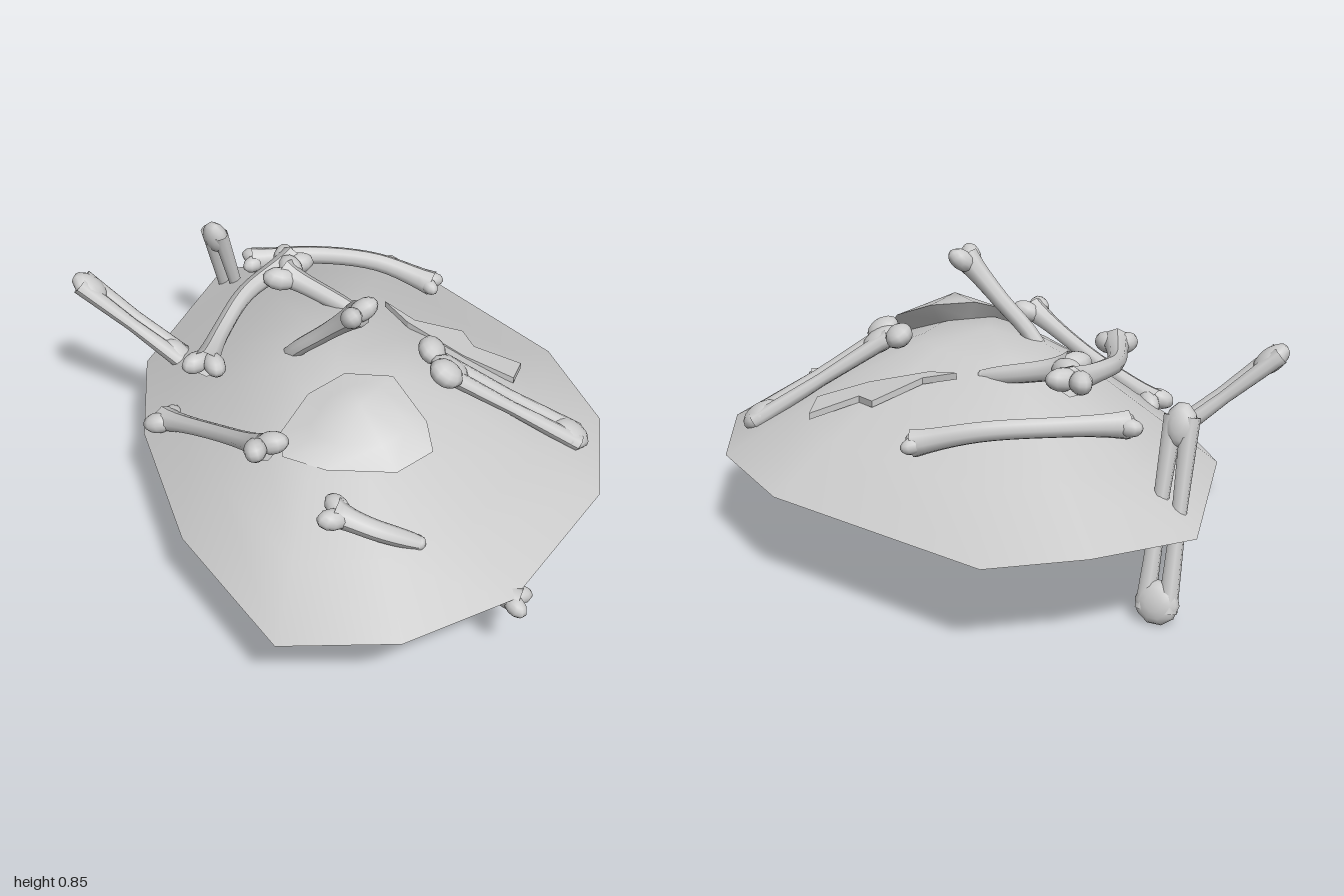
import * as THREE from 'three';

const V = (p) => new THREE.Vector3(...p);
const UP = new THREE.Vector3(0, 1, 0);
const grey = new THREE.MeshStandardMaterial({ color: 0xcccccc });
const greyThin = new THREE.MeshStandardMaterial({ color: 0xcccccc, side: THREE.DoubleSide });

function add(parent, name, geometry, material = grey) {
  const mesh = new THREE.Mesh(geometry, material);
  mesh.name = name;
  parent.add(mesh);
  return mesh;
}

function addGroup(parent, name) {
  const group = new THREE.Group();
  group.name = name;
  parent.add(group);
  return group;
}

// Tube whose radius follows a rule along its length
function shaft(parent, curve, radius) {
  const rows = 16, sides = 8;
  const geo = new THREE.TubeGeometry(curve, rows, 1, sides, false);
  const pos = geo.attributes.position, v = new THREE.Vector3();
  for (let i = 0; i < pos.count; i++) {
    const t = Math.floor(i / (sides + 1)) / rows;
    const c = curve.getPointAt(t);
    v.fromBufferAttribute(pos, i).sub(c).multiplyScalar(radius(t)).add(c);
    pos.setXYZ(i, v.x, v.y, v.z);
  }
  geo.computeVertexNormals();
  add(parent, 'shaft', geo, greyThin);
}

// Ellipsoid aligned to the bone: size = [across, thick, along]
function knob(parent, at, side, dir, size) {
  const mesh = add(parent, 'knuckle', new THREE.SphereGeometry(1, 10, 8));
  const thick = dir.clone().cross(side).normalize();
  mesh.quaternion.setFromRotationMatrix(new THREE.Matrix4().makeBasis(side, thick, dir));
  mesh.position.copy(at);
  mesh.scale.set(...size);
}

const sideOf = (dir) => dir.clone().cross(UP).normalize();

// Long bone with a two-lobed knuckle at each end of non-zero size
function longBone(parent, name, points, r, startSize, endSize) {
  const group = addGroup(parent, name);
  const curve = new THREE.CatmullRomCurve3(points.map(V));
  const flare = (t, s) => (s ? 0.4 * s * Math.exp(-t * 8) : -0.3 * r * Math.exp(-t * 5));
  shaft(group, curve, (t) => r + flare(t, startSize) + flare(1 - t, endSize));
  for (const [t, s] of [[0, startSize], [1, endSize]]) {
    const at = curve.getPointAt(t), out = curve.getTangentAt(t).multiplyScalar(t ? 1 : -1);
    const side = sideOf(out);
    if (!s) { knob(group, at, side, out, [r * 0.7, r * 0.7, r * 0.6]); continue; }
    const up = side.clone().cross(out);
    for (const k of [-1, 1]) {
      const lobeDir = out.clone().addScaledVector(side, k * 0.7).normalize();
      const p = at.clone().addScaledVector(side, k * s * 0.65).addScaledVector(out, -s * 0.1);
      knob(group, p, lobeDir.clone().cross(up).normalize(), lobeDir, [s * 0.75, s * 0.75, s * 1.15]);
    }
  }
}

// Paired bone: two thin shafts joined at both ends, with a slot between
function pairedBone(parent, name, a, b, wideA, wideB) {
  const group = addGroup(parent, name);
  const A = V(a), B = V(b), dir = B.clone().sub(A).normalize(), side = sideOf(dir);
  for (const k of [-1, 1]) {
    const path = [0.05, 0.25, 0.5, 0.75, 0.95].map((t) => {
      const w = THREE.MathUtils.lerp(wideA, wideB, t);
      return A.clone().lerp(B, t).addScaledVector(side, k * w * 0.54);
    });
    shaft(group, new THREE.CatmullRomCurve3(path), (t) => 0.021 + 0.007 * Math.abs(2 * t - 1));
  }
  knob(group, A.clone().addScaledVector(dir, 0.055), side, dir, [wideA * 1.05, 0.035, 0.065]);
  knob(group, B.clone().addScaledVector(dir, -0.055), side, dir, [wideB * 1.05, 0.035, 0.065]);
  return group;
}

// Surface from rings of equal length, closed around, with a point at the last ring
function ringSurface(rings, tip) {
  const n = rings[0].length, index = [];
  const pts = rings.flat().concat([tip]);
  for (let r = 0; r < rings.length; r++) {
    for (let i = 0; i < n; i++) {
      const a = r * n + i, b = r * n + (i + 1) % n;
      if (r === rings.length - 1) index.push(a, pts.length - 1, b);
      else index.push(a, a + n, b, b, a + n, b + n);
    }
  }
  const geo = new THREE.BufferGeometry();
  geo.setAttribute('position', new THREE.Float32BufferAttribute(pts.flat(), 3));
  geo.setIndex(index);
  geo.computeVertexNormals();
  return geo;
}

// Low open mound with an angular rim, its summit set forward
function buildMound(parent) {
  const rim = [[0.1, -1], [0.67, -0.47], [0.84, -0.12], [0.84, 0.25], [0.6, 0.74], [0.31, 0.95],
    [-0.03, 1], [-0.36, 0.6], [-0.57, 0.13], [-0.64, -0.25], [-0.49, -0.83], [-0.19, -0.95]].reverse();
  const levels = [[1, 0.27], [0.75, 0.38], [0.5, 0.49], [0.25, 0.57]];
  const cx = 0.03, cz = 0.1;
  const rings = levels.map(([s, y]) => rim.map(([x, z]) => [cx + (x - cx) * s, y, cz + (z - cz) * s]));
  add(parent, 'mound', ringSurface(rings, [cx, 0.595, cz]), greyThin);
}

// Broad curved bone plate, bulging on top and below
function buildBonePlate(parent) {
  const rim = [[-0.1, 0.53, 0.41], [-0.03, 0.6, 0.3], [0.07, 0.64, 0.24], [0.21, 0.635, 0.23],
    [0.32, 0.57, 0.35], [0.345, 0.51, 0.41], [0.25, 0.5, 0.505], [0.05, 0.505, 0.525], [-0.08, 0.505, 0.48]];
  const inner = (s, mid) => rim.map((p) => p.map((c, i) => mid[i] + (c - mid[i]) * s));
  const top = [0.13, 0.635, 0.38], low = [0.13, 0.43, 0.36];
  const group = addGroup(parent, 'bonePlate');
  add(group, 'plateTop', ringSurface([rim, inner(0.6, top)], top), greyThin);
  add(group, 'plateUnderside', ringSurface([rim, inner(0.7, low)], low), greyThin);
}

// Thin jagged splinter lying on the slope
function buildSplinter(parent) {
  const outline = [[0.14, -0.26], [0.24, -0.21], [0.39, -0.25], [0.43, -0.18], [0.58, -0.18],
    [0.56, -0.075], [0.4, -0.1], [0.22, -0.18]].map(([x, z]) => new THREE.Vector2(x, -z));
  const geo = new THREE.ExtrudeGeometry(new THREE.Shape(outline), { depth: 0.02, bevelEnabled: false });
  geo.rotateX(-Math.PI / 2);
  const pos = geo.attributes.position;
  for (let i = 0; i < pos.count; i++) {
    const slope = Math.max(0, pos.getX(i) - 0.14) * 0.35;
    pos.setY(i, pos.getY(i) + 0.555 - slope + (pos.getZ(i) + 0.17) * 0.1);
  }
  geo.computeVertexNormals();
  add(parent, 'splinter', geo);
}

export function createModel() {
  const model = new THREE.Group();
  model.name = 'bonePile';
  buildMound(model);
  buildBonePlate(model);
  buildSplinter(model);

  // Long bones lying on or sticking through the mound
  longBone(model, 'frontDiagonalBone', [[-0.5, 0.335, 0.13], [-0.3, 0.44, 0.31], [-0.13, 0.545, 0.49]], 0.025, 0.043, 0.045);
  longBone(model, 'backBone', [[-0.33, 0.5, -0.55], [-0.14, 0.51, -0.59], [0.08, 0.5, -0.59], [0.27, 0.455, -0.55]], 0.029, 0.036, 0.032);
  longBone(model, 'sideCurvedBone', [[-0.18, 0.59, -0.43], [-0.3, 0.57, -0.25], [-0.35, 0.54, -0.08], [-0.37, 0.54, 0.11]], 0.028, 0.046, 0.044);
  longBone(model, 'crossingBone', [[-0.19, 0.6, -0.33], [-0.07, 0.57, -0.28], [0.06, 0.54, -0.22]], 0.031, 0.05, 0);
  longBone(model, 'standingBone', [[0.1, 0.805, 0.17], [0, 0.69, 0.11], [-0.12, 0.55, 0.04], [-0.2, 0.28, -0.14]], 0.025, 0.043, 0.034);
  longBone(model, 'frontSmallBone', [[0.09, 0.475, 0.67], [0.2, 0.44, 0.685], [0.33, 0.385, 0.665]], 0.03, 0.042, 0);
  longBone(model, 'lowerBone', [[0.615, 0.24, 0.71], [0.4, 0.3, 0.67], [0.14, 0.37, 0.62]], 0.025, 0.036, 0);

  // Paired bones, seen with a slot between their shafts
  pairedBone(model, 'sidePairedBone', [-0.84, 0.61, -0.21], [-0.48, 0.32, -0.19], 0.043, 0.038);
  pairedBone(model, 'uprightPairedBone', [-0.475, 0.58, -0.62], [-0.39, 0, -0.77], 0.045, 0.063);
  const forearm = pairedBone(model, 'leftPairedBone', [0.32, 0.595, 0.09], [0.79, 0.31, 0.05], 0.05, 0.053);
  const along = V([0.47, -0.29, -0.04]).normalize();
  knob(forearm, V([0.31, 0.595, 0.03]), sideOf(along), along, [0.055, 0.035, 0.045]);
  knob(forearm, V([0.36, 0.585, 0.13]), sideOf(along), along, [0.05, 0.038, 0.055]);
  return model;
}
